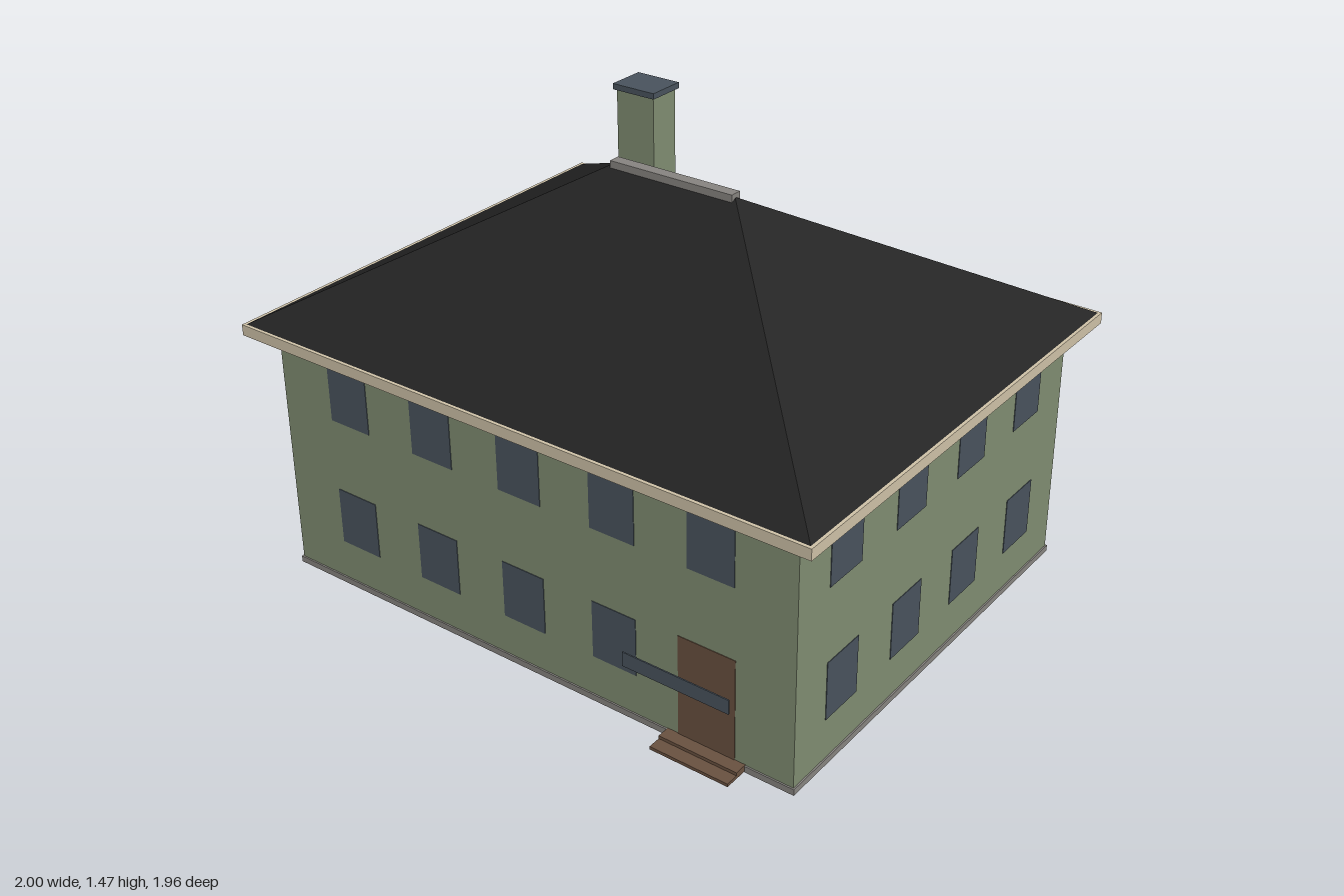
import * as THREE from 'three';

const mat = (name, hex) => {
  const m = new THREE.MeshStandardMaterial({ color: hex });
  m.name = name;
  return m;
};

export function createModel() {
  const sage = mat('sage wall', 0x7f8b70);
  const black = mat('black roofing', 0x222222);
  const cream = mat('cream trim', 0xcdc0a6);
  const brown = mat('brown wood', 0x68503f);
  const slate = mat('slate blue', 0x48525c);
  const grey = mat('grey concrete', 0x86837f);

  const model = new THREE.Group();
  model.name = 'house';

  // Box given by its minimum and maximum on each axis
  const box = (name, material, x0, x1, y0, y1, z0, z1, parent = model) => {
    const mesh = new THREE.Mesh(new THREE.BoxGeometry(x1 - x0, y1 - y0, z1 - z0), material);
    mesh.position.set((x0 + x1) / 2, (y0 + y1) / 2, (z0 + z1) / 2);
    mesh.name = name;
    parent.add(mesh);
    return mesh;
  };
  const group = (name) => {
    const g = new THREE.Group();
    g.name = name;
    model.add(g);
    return g;
  };

  // Main block
  const W = 0.922, ZF = 0.84, ZB = -0.587, ZC = 0.126;
  box('foundation', grey, -W - 0.005, W + 0.005, 0, 0.02, ZB - 0.005, ZF + 0.005);
  box('walls', sage, -W, W, 0.02, 0.825, ZB, ZF);

  // Hip roof: a box whose top is drawn in to the ridge
  const EX = 1.0, EZ = 0.784, RIDGE = 0.215;
  let roofGeo = new THREE.BoxGeometry(2, 1, 2).toNonIndexed();
  const p = roofGeo.attributes.position;
  for (let i = 0; i < p.count; i++) {
    const top = p.getY(i) > 0;
    p.setXYZ(i,
      Math.sign(p.getX(i)) * (top ? RIDGE : EX - 0.006),
      top ? 1.28 : 0.835,
      ZC + Math.sign(p.getZ(i)) * (top ? 0.001 : EZ - 0.006));
  }
  roofGeo.computeVertexNormals();
  const roof = new THREE.Mesh(roofGeo, black);
  roof.name = 'hipRoof';
  model.add(roof);
  box('ridgeCap', grey, -0.217, 0.217, 1.27, 1.293, ZC - 0.019, ZC + 0.019);

  // Fascia boards around the eaves
  const fascia = group('fascia');
  const T = 0.01;
  for (const s of [-1, 1]) {
    const x = s * (EX - T / 2), z = ZC + s * (EZ - T / 2);
    box('sideFascia', cream, x - T / 2, x + T / 2, 0.802, 0.837, ZC - EZ, ZC + EZ, fascia);
    box('longFascia', cream, -EX + T, EX - T, 0.802, 0.837, z - T / 2, z + T / 2, fascia);
  }

  // Chimney
  box('chimney', sage, -0.296, -0.162, 1.0, 1.456, -0.096, 0.008);
  box('chimneyCap', slate, -0.304, -0.154, 1.455, 1.473, -0.105, 0.017);

  // Windows: thin plates on the walls
  const windows = group('windows');
  const E = 0.004, HW = 0.076, HH = 0.093;
  const rows = [0.244, 0.668];
  const plateZ = (name, m, parent, x, w, y0, y1, wall) =>
    box(name, m, x - w, x + w, y0, y1, wall - E / 2, wall + E / 2, parent);
  const cols = [-0.652, -0.326, 0, 0.326, 0.652];
  for (const y of rows) {
    const upper = y > 0.5;
    for (const x of cols) {
      if (upper || x < 0.5) plateZ('frontWindow', slate, windows, x, HW, y - HH, y + HH, ZF);
      const backHas = upper ? x !== -0.326 : x !== 0 && x !== 0.652;
      if (backHas) plateZ('backWindow', slate, windows, x, HW, y - HH, y + HH, ZB);
    }
    for (const z of [0.618, 0.29, -0.036, -0.363])
      for (const s of [-1, 1])
        box('sideWindow', slate, s * W - E / 2, s * W + E / 2, y - HH, y + HH, z - HW, z + HW, windows);
  }

  // Doors
  const doors = group('doors');
  const DW = 0.094;
  plateZ('frontDoor', brown, doors, 0.639, DW, 0.02, 0.348, ZF);
  plateZ('backDoor', brown, doors, 0.64, DW, 0.02, 0.348, ZB - 0.002);
  plateZ('backDoor', brown, doors, 0.08, DW, 0.02, 0.348, ZB - 0.002);
  plateZ('balconyDoor', brown, doors, -0.42, DW, 0.445, 0.762, ZB);

  // Front steps and door canopy board
  box('lowerStep', brown, 0.508, 0.768, 0.002, 0.012, ZF, 0.922);
  box('upperStep', brown, 0.508, 0.768, 0.012, 0.022, ZF, 0.881);
  box('canopyBoard', slate, 0.466, 0.81, 0.298, 0.343, 0.976, 0.98);

  // Terrace and balcony at the back
  const BX0 = -0.855, BX1 = 0.495, BZ = -0.98;
  box('terraceSlab', grey, BX0, BX1, 0, 0.02, BZ, ZB);
  box('balconySoffit', grey, BX0 + 0.002, BX1 - 0.002, 0.419, 0.424, BZ + 0.002, ZB);
  box('balconyDeck', brown, BX0, BX1, 0.424, 0.446, BZ, ZB);

  const posts = group('balconyPosts');
  const P = 0.009;
  for (const [x, z] of [[BX0 + 0.012, -0.969], [-0.4, -0.969], [BX1 - 0.012, -0.969],
    [BX0 + 0.012, -0.6], [BX1 - 0.012, -0.6]])
    box('balconyPost', cream, x - P, x + P, 0.02, 0.42, z - P, z + P, posts);

  // Railings
  const railing = group('balconyRailing');
  const R = 0.004, RX0 = BX0 + 0.01, RX1 = BX1 - 0.005, RZ = -0.97;
  const rail = (x0, x1, y0, y1, z0, z1) =>
    box('rail', slate, x0 - R, x1 + R, y0 - R, y1 + R, z0 - R, z1 + R, railing);
  for (const y of [0.525, 0.592]) {
    rail(RX0, RX1, y, y, RZ, RZ);
    for (const x of [RX0, RX1]) rail(x, x, y, y, -0.95, -0.619);
  }
  for (let i = 0; i <= 6; i++) {
    const x = RX0 + (RX1 - RX0) * i / 6;
    rail(x, x, 0.445, 0.592, RZ, RZ);
  }
  for (const x of [RX0, RX1])
    for (const z of [-0.95, -0.785, -0.619]) rail(x, x, 0.445, 0.592, z, z);

  return model;
}
